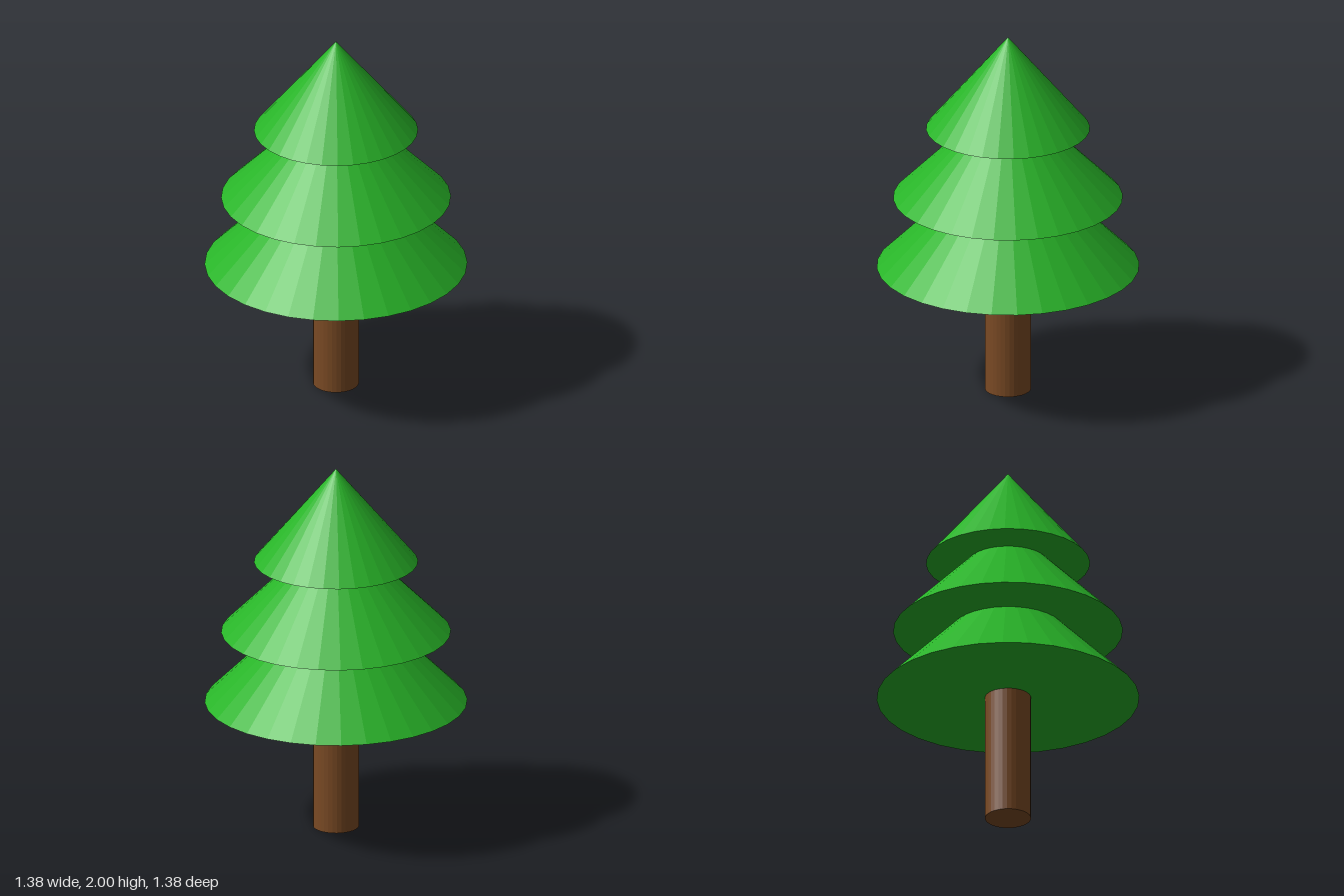
import * as THREE from 'three';

const SIDES = 32;

export function createModel() {
  const tree = new THREE.Group();
  tree.name = 'pineTree';

  const leafGreen = new THREE.MeshStandardMaterial({ color: 0x28b428, flatShading: true });
  leafGreen.name = 'leafGreen';
  const barkBrown = new THREE.MeshStandardMaterial({ color: 0x7a4a24, flatShading: true });
  barkBrown.name = 'barkBrown';

  // Trunk, ending at the underside of the foliage
  const trunkHeight = 0.7;
  const trunk = new THREE.Mesh(
    new THREE.CylinderGeometry(0.121, 0.121, trunkHeight, SIDES), barkBrown);
  trunk.name = 'trunk';
  trunk.position.y = trunkHeight / 2;
  tree.add(trunk);

  // Three overlapping closed cones of foliage
  const tiers = [
    { name: 'lowerFoliage', radius: 0.692, base: 0.7, height: 0.69 },
    { name: 'middleFoliage', radius: 0.605, base: 1.09, height: 0.605 },
    { name: 'topFoliage', radius: 0.432, base: 1.482, height: 0.518 },
  ];
  for (const { name, radius, base, height } of tiers) {
    const cone = new THREE.Mesh(new THREE.ConeGeometry(radius, height, SIDES), leafGreen);
    cone.name = name;
    cone.position.y = base + height / 2;
    tree.add(cone);
  }

  return tree;
}
